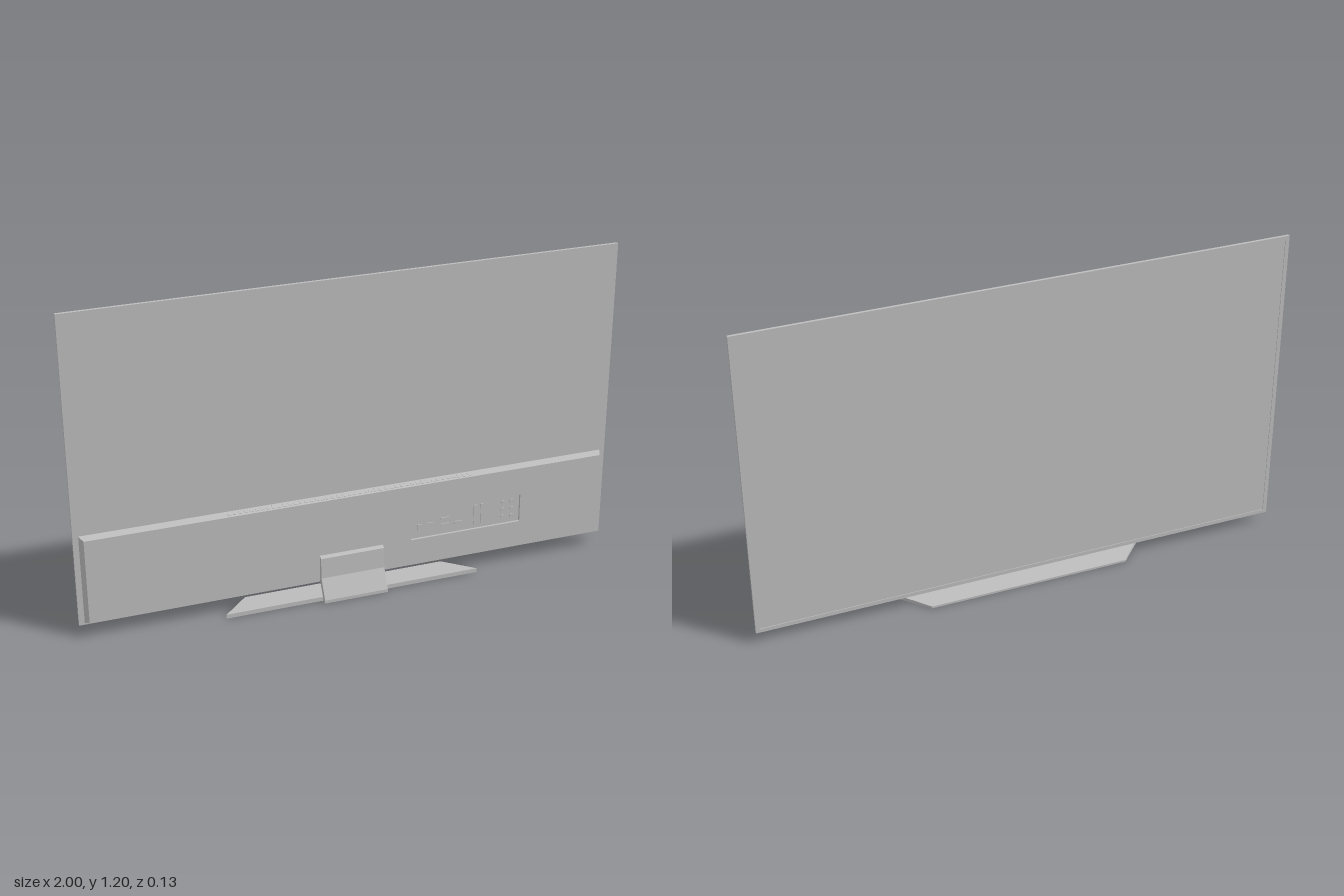
import * as THREE from 'three';

export function createModel() {
  const model = new THREE.Group();
  model.name = 'television';
  const grey = new THREE.MeshStandardMaterial({ color: 0xbcbcbc });
  grey.name = 'satin grey';

  const add = (name, geometry, x = 0, y = 0, z = 0, parent = model) => {
    const mesh = new THREE.Mesh(geometry, grey);
    mesh.name = name;
    mesh.position.set(x, y, z);
    parent.add(mesh);
    return mesh;
  };
  const box = (name, x0, x1, y0, y1, z0, z1, parent) =>
    add(name, new THREE.BoxGeometry(x1 - x0, y1 - y0, z1 - z0),
      (x0 + x1) / 2, (y0 + y1) / 2, (z0 + z1) / 2, parent);
  const rect = (x0, x1, y0, y1, Type = THREE.Shape) =>
    new Type([[x0, y0], [x1, y0], [x1, y1], [x0, y1]].map(p => new THREE.Vector2(...p)));
  const extrude = (shape, depth) =>
    new THREE.ExtrudeGeometry(shape, { depth, bevelEnabled: false });

  // Thin panel, with a slim bezel round the screen on the -z side
  box('panel', -1, 1, 0.045, 1.195, -0.024, -0.016);
  const bezel = rect(-1, 1, 0.045, 1.195);
  bezel.holes.push(rect(-0.985, 0.985, 0.06, 1.183, THREE.Path));
  add('screenBezel', extrude(bezel, 0.0025), 0, 0, -0.0265);

  // Electronics housing: tapered skirt, open where the cover plate sits
  const skirt = new THREE.BoxGeometry(2, 2, 2);
  const p = skirt.attributes.position;
  for (let i = 0; i < p.count; i++) {
    const front = p.getZ(i) > 0, up = p.getY(i) > 0;
    p.setXYZ(i, Math.sign(p.getX(i)) * (front ? 0.968 : 0.98),
      up ? (front ? 0.383 : 0.391) : (front ? 0.064 : 0.052),
      front ? 0.012 : -0.016);
  }
  skirt.setIndex([...skirt.index.array].slice(0, 24)); // four sides only
  skirt.clearGroups();
  skirt.computeVertexNormals();
  add('housingSides', skirt);

  const cover = rect(-0.968, 0.968, 0.064, 0.383);
  cover.holes.push(rect(0.22, 0.65, 0.165, 0.275, THREE.Path));
  add('housingCover', extrude(cover, 0.01), 0, 0, 0.002);

  // Recessed connector bay
  const bay = new THREE.Group();
  bay.name = 'connectorBay';
  model.add(bay);
  box('bayFloor', 0.215, 0.655, 0.16, 0.28, -0.002, 0.003, bay);
  const socket = (x, y, w, h) =>
    box('socket', x - w / 2, x + w / 2, y - h / 2, y + h / 2, 0.003, 0.006, bay);
  socket(0.255, 0.208, 0.018, 0.022);
  socket(0.297, 0.208, 0.022, 0.024);
  socket(0.355, 0.225, 0.036, 0.012);
  socket(0.355, 0.2, 0.036, 0.012);
  socket(0.41, 0.2, 0.034, 0.014);
  for (const x of [0.475, 0.502]) socket(x, 0.22, 0.014, 0.08);
  for (const x of [0.585, 0.62])
    for (const y of [0.19, 0.22, 0.25])
      add('roundSocket', new THREE.CylinderGeometry(0.009, 0.009, 0.004, 12)
        .rotateX(Math.PI / 2), x, y, 0.005, bay);

  // Row of vent ribs along the housing top
  for (let i = 0; i < 46; i++) {
    const rib = add('ventRib', new THREE.BoxGeometry(0.011, 0.003, 0.014),
      -0.455 + i * 0.02, 0.387, -0.002);
    rib.rotation.x = Math.atan2(0.008, 0.028);
  }

  // Bent neck, a side profile (z, y) swept across x
  const neck = new THREE.Shape([
    [0.012, 0.168], [0.012, 0.065], [0.043, 0.014], [0.043, 0],
    [0.065, 0], [0.065, 0.012], [0.028, 0.083], [0.024, 0.16],
  ].map(q => new THREE.Vector2(...q)));
  const neckGeometry = extrude(neck, 0.24).rotateY(-Math.PI / 2);
  add('standNeck', neckGeometry, 0.11);

  // Trapezoid foot, its top sloping down towards the screen side
  const foot = new THREE.BoxGeometry(2, 2, 2);
  const f = foot.attributes.position;
  for (let i = 0; i < f.count; i++) {
    const front = f.getZ(i) > 0;
    f.setXYZ(i, -0.01 + Math.sign(f.getX(i)) * (front ? 0.48 : 0.38),
      f.getY(i) > 0 ? (front ? 0.016 : 0.008) : 0, front ? 0.043 : -0.064);
  }
  foot.computeVertexNormals();
  add('standFoot', foot);

  return model;
}
